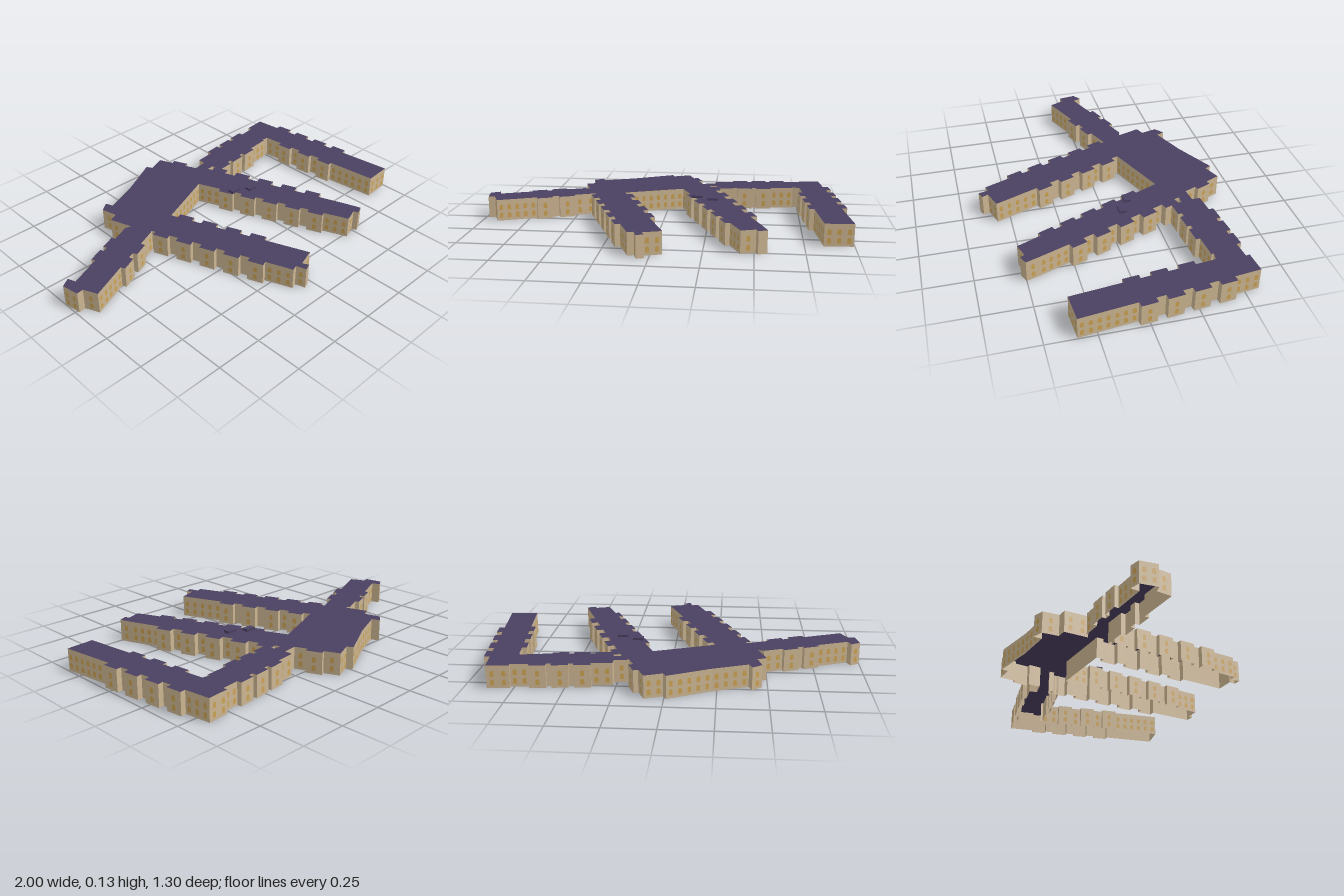
import * as THREE from 'three';
import { mergeGeometries } from 'three/addons/utils/BufferGeometryUtils.js';

const HEIGHT = 0.118;
const BAY_WIDTH = 0.085;

// A corner [x, z] of the plan; the wall leaving it may carry evenly spaced bays
const corner = (x, z, bays) => ({ point: new THREE.Vector2(x, z), bays });
const bays = (count, first, pitch, depth) => ({ count, first, pitch, depth });

// Corners run clockwise from above, wing by wing
const mainBack = () => [
  corner(-0.406, -0.463), corner(-0.225, -0.537), corner(-0.011, -0.65), corner(0.005, -0.618),
  corner(0.096, -0.655, bays(1, 0.085, 0, 0.025)), corner(0.19, -0.436), corner(0.267, -0.446),
];
const eastWings = () => [
  corner(0.267, -0.489, bays(3, 0.107, 0.11, 0.025)), corner(0.77, -0.543), corner(0.767, -0.564),
  corner(0.882, -0.575, bays(4, 0.14, 0.135, 0.03)), corner(0.995, 0.345),
  corner(0.845, 0.355, bays(3, 0.275, 0.143, 0.025)), corner(0.76, -0.393), corner(0.717, -0.398),
  corner(0.722, -0.385, bays(3, 0.13, 0.11, 0.022)), corner(0.283, -0.345), corner(0.278, -0.382),
];
const middleWing = () => [
  corner(0.235, -0.382, bays(5, 0.03, 0.145, 0.035)), corner(0.54, 0.43),
  corner(0.564, 0.5), corner(0.519, 0.521), corner(0.508, 0.495),
  corner(0.433, 0.521, bays(5, 0.14, 0.132, 0.025)), corner(0.086, -0.297),
];
const southWing = () => [
  corner(-0.235, -0.168, bays(4, 0.04, 0.14, 0.03)), corner(0.059, 0.57), corner(-0.037, 0.602),
  corner(-0.021, 0.634), corner(-0.059, 0.65), corner(-0.075, 0.596),
  corner(-0.107, 0.607, bays(5, 0.15, 0.135, 0.028)),
];
const westWing = () => [
  corner(-0.401, -0.131, bays(2, 0.125, 0.125, 0.025)), corner(-0.914, 0.083), corner(-0.947, 0.008),
  corner(-0.984, 0.013), corner(-1, -0.08), corner(-0.952, -0.11),
  corner(-0.936, -0.067, bays(2, 0.18, 0.115, 0.022)), corner(-0.487, -0.249),
];
const mainWest = () => [
  corner(-0.455, -0.238), corner(-0.497, -0.361), corner(-0.449, -0.382),
  corner(-0.471, -0.468), corner(-0.422, -0.505),
];

// Expands the corners and their bays into the full stepped outline
function buildOutline() {
  const corners = [mainBack, eastWings, middleWing, southWing, westWing, mainWest].flatMap((part) => part());
  return corners.flatMap(({ point, bays: row }, i) => {
    const points = [point];
    if (!row) return points;
    const dir = corners[(i + 1) % corners.length].point.clone().sub(point).normalize();
    const out = new THREE.Vector2(dir.y, -dir.x);
    const at = (along, depth) => point.clone().addScaledVector(dir, along).addScaledVector(out, depth);
    for (let k = 0; k < row.count; k++) {
      const from = row.first + k * row.pitch;
      const to = from + BAY_WIDTH;
      points.push(at(from, 0), at(from, row.depth), at(to, row.depth), at(to, 0));
    }
    return points;
  });
}

// Flat round-headed window
function windowGeometry() {
  const w = 0.01, h = 0.03;
  const shape = new THREE.Shape();
  shape.moveTo(-w, 0);
  shape.lineTo(w, 0);
  shape.lineTo(w, h - w);
  shape.absarc(0, h - w, w, 0, Math.PI, false);
  shape.closePath();
  return new THREE.ShapeGeometry(shape, 5);
}

export function createModel() {
  const stone = new THREE.MeshStandardMaterial({ color: 0xccb592, side: THREE.DoubleSide });
  stone.name = 'stone';
  const slate = new THREE.MeshStandardMaterial({ color: 0x4a3f60, side: THREE.DoubleSide });
  slate.name = 'slate';
  const amber = new THREE.MeshStandardMaterial({ color: 0xcba253 });
  amber.name = 'amber';

  const model = new THREE.Group();
  model.name = 'building';
  const add = (name, geometry, material) => {
    const mesh = new THREE.Mesh(geometry, material);
    mesh.name = name;
    model.add(mesh);
    return mesh;
  };

  const outline = buildOutline();
  const pane = windowGeometry();
  const walls = [], windows = [];

  // One wall panel per outline edge, with two storeys of windows
  outline.forEach((a, i) => {
    const b = outline[(i + 1) % outline.length];
    const length = a.distanceTo(b);
    const mid = a.clone().add(b).multiplyScalar(0.5);
    const facing = Math.atan2(b.y - a.y, a.x - b.x);
    const frame = new THREE.Matrix4().makeRotationY(facing).setPosition(mid.x, 0, mid.y);
    walls.push(new THREE.PlaneGeometry(length, HEIGHT).translate(0, HEIGHT / 2, 0).applyMatrix4(frame));

    const count = length < 0.055 ? 0 : Math.floor((length - 0.01) / 0.04);
    for (let k = 0; k < count; k++) {
      const along = ((k + 0.5) / count - 0.5) * length;
      for (const sill of [0.016, 0.061]) {
        windows.push(pane.clone().translate(along, sill, 0.002).applyMatrix4(frame));
      }
    }
  });
  add('walls', mergeGeometries(walls), stone);
  add('windows', mergeGeometries(windows), amber);

  // Flat roof over the whole plan
  const plan = new THREE.Shape(outline.map((p) => new THREE.Vector2(p.x, -p.y)));
  add('roof', new THREE.ShapeGeometry(plan).rotateX(-Math.PI / 2).translate(0, HEIGHT, 0), slate);

  // Rooftop plant boxes
  for (const [x, z] of [[0.182, -0.104], [0.27, -0.056]]) {
    add('roofBox', new THREE.BoxGeometry(0.056, 0.014, 0.035), slate).position.set(x, HEIGHT + 0.006, z);
  }
  return model;
}
